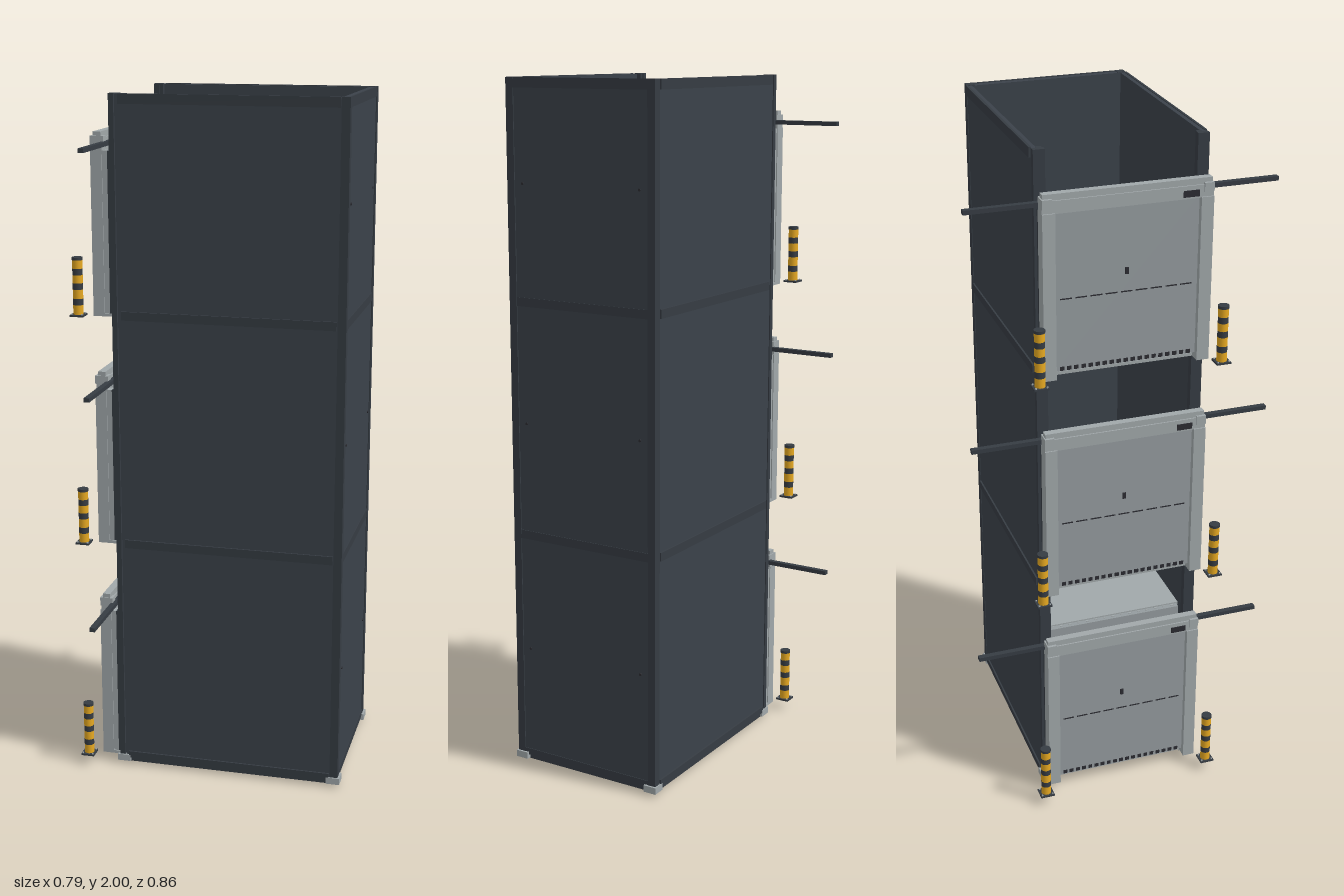
import * as THREE from 'three';

const mat = (name, color) => {
  const m = new THREE.MeshStandardMaterial({ color });
  m.name = name;
  return m;
};

export function createModel() {
  const dark = mat('charcoal panel', 0x3b424a);
  const trim = mat('charcoal frame', 0x363c43);
  const grey = mat('light steel', 0xa1a8aa);
  const leafGrey = mat('door steel', 0x949b9e);
  const yellow = mat('safety yellow', 0xecad22);
  const black = mat('underside black', 0x2b2b31);

  const model = new THREE.Group();
  model.name = 'liftShaft';

  // Box given by its minimum and maximum corners
  const box = (parent, name, m, x0, x1, y0, y1, z0, z1) => {
    const mesh = new THREE.Mesh(new THREE.BoxGeometry(x1 - x0, y1 - y0, z1 - z0), m);
    mesh.position.set((x0 + x1) / 2, (y0 + y1) / 2, (z0 + z1) / 2);
    mesh.name = name;
    parent.add(mesh);
    return mesh;
  };
  // The same box on both z sides; z0 and z1 are distances from the middle
  const pair = (parent, name, m, x0, x1, y0, y1, z0, z1) => {
    box(parent, name + 'Left', m, x0, x1, y0, y1, z0, z1);
    box(parent, name + 'Right', m, x0, x1, y0, y1, -z1, -z0);
  };
  const cyl = (parent, name, m, r, y0, y1, x, z, sides = 20) => {
    const mesh = new THREE.Mesh(new THREE.CylinderGeometry(r, r, y1 - y0, sides), m);
    mesh.position.set(x, (y0 + y1) / 2, z);
    mesh.name = name;
    parent.add(mesh);
    return mesh;
  };

  const PITCH = 0.677;

  // Shaft walls on three sides, open towards -x and at the top
  const shaft = new THREE.Group();
  shaft.name = 'shaft';
  model.add(shaft);
  pair(shaft, 'sideWall', dark, -0.265, 0.37, 0.022, 1.998, 0.224, 0.238);
  box(shaft, 'endWall', dark, 0.361, 0.383, 0.022, 1.998, -0.23, 0.23);
  pair(shaft, 'rearPost', trim, 0.362, 0.386, 0.025, 2.0, 0.216, 0.24);
  pair(shaft, 'doorPost', trim, -0.282, -0.267, 0.025, 2.0, 0.208, 0.24);
  pair(shaft, 'doorPostLip', trim, -0.267, -0.255, 0.025, 2.0, 0.211, 0.225);

  // Horizontal beams between storeys, standing slightly proud
  for (const [y0, y1] of [[0.022, 0.042], [0.695, 0.72], [1.373, 1.398], [1.972, 2.0]]) {
    pair(shaft, 'sideBeam', trim, -0.255, 0.36, y0, y1, 0.236, 0.243);
    box(shaft, 'endBeam', trim, 0.38, 0.385, y0, y1, -0.216, 0.216);
  }

  // Small fixing bolts on the end wall
  for (let i = 0; i < 3; i++) {
    for (const z of [-0.19, 0.19]) {
      const bolt = cyl(shaft, 'wallBolt', black, 0.004, 0, 0.003, 0, 0, 8);
      bolt.rotation.z = Math.PI / 2;
      bolt.position.set(0.384, i * PITCH + 0.36, z);
    }
  }

  // Base tray, cross ribs and corner feet
  const base = new THREE.Group();
  base.name = 'base';
  model.add(base);
  box(base, 'baseTray', black, -0.265, 0.37, 0.014, 0.026, -0.224, 0.224);
  pair(base, 'baseRail', trim, -0.26, 0.365, 0.008, 0.026, 0.218, 0.236);
  for (const x of [-0.268, 0.36]) box(base, 'baseEndRail', trim, x, x + 0.018, 0.008, 0.026, -0.23, 0.23);
  for (const x of [-0.14, 0.046, 0.232]) box(base, 'baseRib', trim, x - 0.01, x + 0.01, 0, 0.016, -0.205, 0.205);
  pair(base, 'frontFoot', grey, -0.29, -0.25, 0.01, 0.03, 0.204, 0.244);
  pair(base, 'rearFoot', grey, 0.352, 0.392, 0.01, 0.03, 0.204, 0.244);

  // Lift car standing at the lowest floor
  const car = new THREE.Group();
  car.name = 'liftCar';
  model.add(car);
  box(car, 'carBody', leafGrey, -0.232, 0.346, 0.045, 0.52, -0.207, 0.207);
  box(car, 'carRoof', grey, -0.232, 0.345, 0.52, 0.53, -0.21, 0.21);
  box(car, 'carRoofEdge', trim, 0.345, 0.349, 0.515, 0.531, -0.21, 0.21);
  box(car, 'carDoorHeader', leafGrey, -0.249, -0.232, 0.49, 0.526, -0.205, 0.205);
  box(car, 'carDoor', leafGrey, -0.246, -0.234, 0.045, 0.49, -0.2, 0.2);
  for (let i = -7; i <= 7; i++) box(car, 'headerNotch', grey, -0.241, -0.236, 0.526, 0.528, i * 0.027 - 0.004, i * 0.027 + 0.004);

  // One landing: vertical gate, its frame and cross bar
  const landing = () => {
    const g = new THREE.Group();
    g.name = 'landingGate';
    pair(g, 'jamb', grey, -0.338, -0.305, 0.027, 0.492, 0.2, 0.235);
    pair(g, 'guideChannel', grey, -0.305, -0.29, 0.03, 0.49, 0.205, 0.232);
    pair(g, 'guideEdge', trim, -0.29, -0.281, 0.035, 0.49, 0.212, 0.232);
    box(g, 'gateLeaf', leafGrey, -0.322, -0.306, 0.045, 0.495, -0.2, 0.2);
    box(g, 'header', grey, -0.334, -0.304, 0.49, 0.525, -0.235, 0.235);
    box(g, 'headerCap', grey, -0.33, -0.308, 0.525, 0.542, -0.232, 0.232);
    pair(g, 'headerBracket', grey, -0.338, -0.3, 0.505, 0.53, 0.208, 0.235);
    box(g, 'sill', grey, -0.305, -0.268, 0.027, 0.036, -0.235, 0.235);
    box(g, 'crossBar', trim, -0.306, -0.29, 0.503, 0.515, -0.432, 0.432);
    // Leaf seam, lock and bottom comb as thin plates
    for (let i = -4; i <= 4; i++) box(g, 'leafSeam', black, -0.324, -0.321, 0.249, 0.252, i * 0.042 - 0.016, i * 0.042 + 0.016);
    for (let i = -9; i <= 9; i++) box(g, 'bottomComb', black, -0.324, -0.321, 0.046, 0.057, i * 0.02 - 0.006, i * 0.02 + 0.006);
    box(g, 'lockPlate', black, -0.336, -0.333, 0.495, 0.513, 0.15, 0.195);
    box(g, 'handle', black, -0.326, -0.321, 0.3, 0.318, -0.005, 0.005);
    return g;
  };

  // Striped bollard on a bolted plate
  const bollard = () => {
    const g = new THREE.Group();
    g.name = 'bollard';
    box(g, 'bollardPlate', trim, -0.02, 0.02, 0.03, 0.035, -0.021, 0.021);
    for (const x of [-0.015, 0.015]) for (const z of [-0.016, 0.016]) cyl(g, 'plateBolt', grey, 0.0025, 0.035, 0.038, x, z, 8);
    const edges = [0.035, 0.062, 0.08, 0.106, 0.124, 0.147, 0.165, 0.189];
    for (let i = 0; i < edges.length - 1; i++) {
      cyl(g, i % 2 ? 'darkBand' : 'yellowBand', i % 2 ? trim : yellow, 0.0145, edges[i], edges[i + 1], 0, 0);
    }
    cyl(g, 'bollardCap', trim, 0.0155, 0.189, 0.197, 0, 0);
    return g;
  };

  // Repeat the landing equipment on the three floors
  for (let i = 0; i < 3; i++) {
    const gate = landing();
    gate.position.y = i * PITCH;
    model.add(gate);
    for (const z of [-0.258, 0.258]) {
      const b = bollard();
      b.position.set(-0.375, i * PITCH, z);
      model.add(b);
    }
  }
  return model;
}
